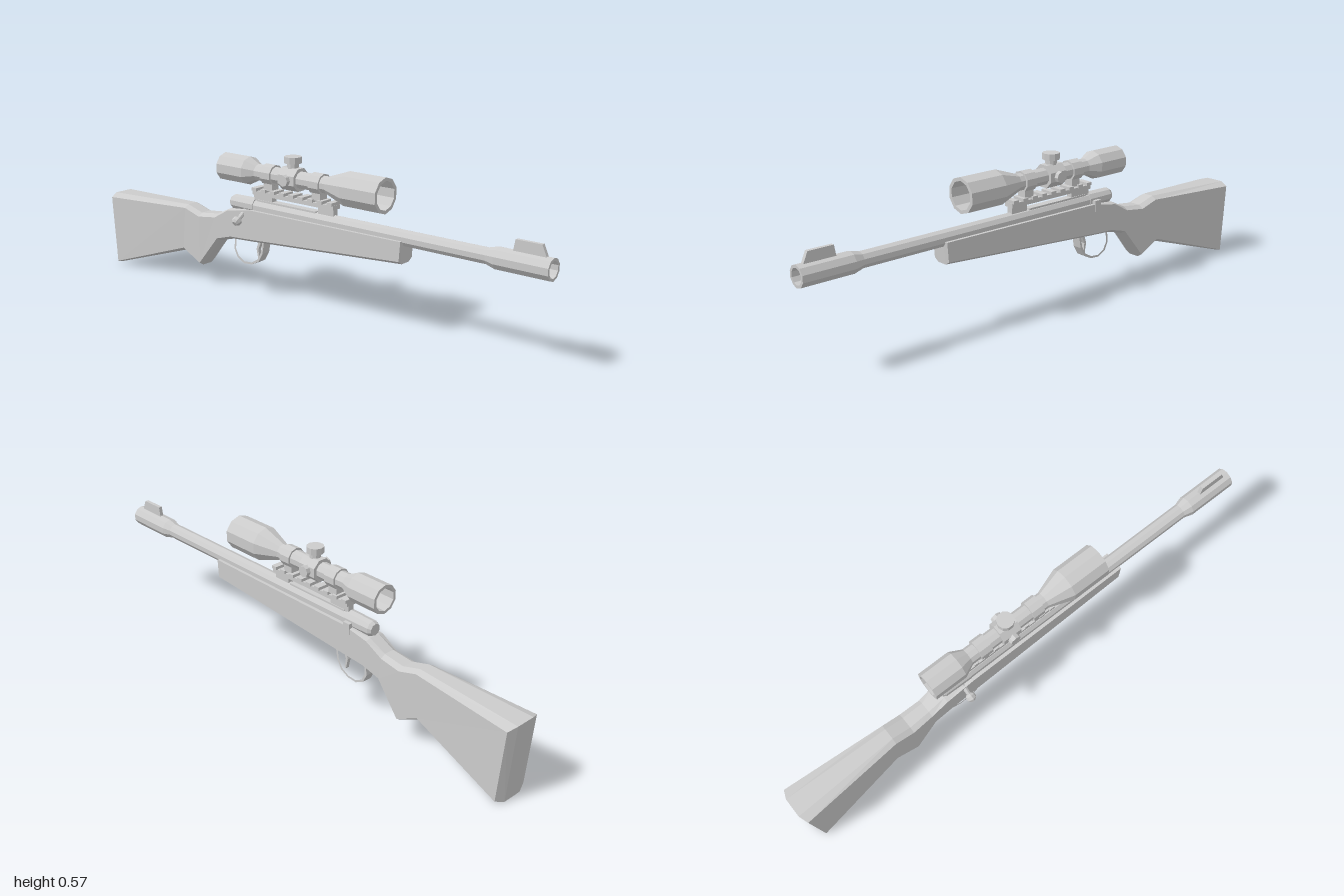
import * as THREE from 'three';

const material = new THREE.MeshStandardMaterial({ color: 0xcccccc, flatShading: true });

function add(parent, name, geometry, x = 0, y = 0, z = 0) {
  const mesh = new THREE.Mesh(geometry, material);
  mesh.name = name;
  mesh.position.set(x, y, z);
  parent.add(mesh);
  return mesh;
}

// Box given by its width and its y and z ranges, centred on x
function box(parent, name, w, y0, y1, z0, z1, x = 0) {
  return add(parent, name, new THREE.BoxGeometry(w, y1 - y0, z1 - z0), x, (y0 + y1) / 2, (z0 + z1) / 2);
}

// Turned part along z; profile points are [radius, z], outer side running towards +z
function turned(parent, name, y, profile, sides = 10) {
  const points = profile.map(([r, z]) => new THREE.Vector2(r, z));
  return add(parent, name, new THREE.LatheGeometry(points, sides).rotateX(Math.PI / 2), 0, y, 0);
}

// Flat shape drawn in (z, y) and given thickness across x
function sideExtrude(parent, name, shape, width) {
  const g = new THREE.ExtrudeGeometry(shape, { depth: width, bevelEnabled: false, curveSegments: 6 });
  g.translate(0, 0, -width / 2).rotateY(-Math.PI / 2);
  return add(parent, name, g);
}

const shapeOf = (pts) => new THREE.Shape(pts.map(([z, y]) => new THREE.Vector2(z, y)));

// Stock lofted through chamfered sections: [zTop, yTop, zBottom, yBottom, halfWidth, topChamfer]
function stockGeometry() {
  const sections = [
    [0.45, 0.35, 0.445, 0.267, 0.039, 0],
    [-0.24, 0.346, -0.24, 0.22, 0.041, 0],
    [-0.355, 0.332, -0.34, 0.214, 0.041, 0.006],
    [-0.425, 0.299, -0.415, 0.193, 0.039, 0.012],
    [-0.51, 0.289, -0.51, 0.076, 0.043, 0.012],
    [-0.585, 0.311, -0.6, 0.121, 0.042, 0.012],
    [-0.987, 0.298, -0.966, 0.001, 0.074, 0.012],
  ];
  const loops = sections.map(([zt, yt, zb, yb, w, c], k) => {
    const f = w * 0.52;
    const bulge = k === sections.length - 1 ? 0.013 : 0; // convex butt end
    return [
      [w, yb + 0.012, zb], [w, yt - c, zt], [f, yt, zt - bulge], [-f, yt, zt - bulge],
      [-w, yt - c, zt], [-w, yb + 0.012, zb], [-f, yb, zb - bulge], [f, yb, zb - bulge],
    ];
  });
  const pos = [];
  const quad = (a, b, c, d) => pos.push(...a, ...b, ...c, ...a, ...c, ...d);
  for (let s = 0; s < loops.length - 1; s++) {
    const A = loops[s], B = loops[s + 1];
    for (let i = 0; i < 8; i++) {
      const j = (i + 1) % 8;
      quad(A[i], B[i], B[j], A[j]);
    }
  }
  const first = loops[0], last = loops[loops.length - 1];
  for (const [a, b, c, d] of [[0, 1, 2, 7], [7, 2, 3, 6], [6, 3, 4, 5]]) {
    quad(first[a], first[b], first[c], first[d]);
    quad(last[d], last[c], last[b], last[a]);
  }
  const g = new THREE.BufferGeometry();
  g.setAttribute('position', new THREE.Float32BufferAttribute(pos, 3));
  g.computeVertexNormals();
  return g;
}

export function createModel() {
  const model = new THREE.Group();
  model.name = 'scopedRifle';
  const body = new THREE.Group();
  body.name = 'rifle';
  body.position.x = 0.009;
  model.add(body);

  add(body, 'stock', stockGeometry());

  // Barrel with widened hollow muzzle, and front sight blade
  turned(body, 'barrel', 0.355, [
    [0, -0.25], [0.029, -0.25], [0.029, 0.77], [0.039, 0.805], [0.039, 1],
    [0.029, 1], [0.025, 0.82], [0, 0.82],
  ]);
  sideExtrude(body, 'frontSight', shapeOf([[0.98, 0.385], [0.96, 0.43], [0.866, 0.43], [0.858, 0.385]]), 0.014);

  // Receiver and bolt
  box(body, 'receiverTop', 0.03, 0.36, 0.386, -0.22, 0.06);
  turned(body, 'boltShroud', 0.357, [
    [0, -0.358], [0.022, -0.358], [0.029, -0.345], [0.031, -0.25], [0.031, -0.235], [0, -0.235],
  ]);
  box(body, 'boltStop', 0.016, 0.318, 0.36, -0.275, -0.245, 0.036);

  // Bolt handle slants down on the right-hand side
  const handle = new THREE.Group();
  handle.name = 'boltHandle';
  handle.position.set(-0.015, 0.342, -0.275);
  handle.rotation.z = 2.15;
  body.add(handle);
  add(handle, 'boltHandleShaft', new THREE.CylinderGeometry(0.008, 0.01, 0.065, 8), 0, 0.028, 0);
  const knob = [[0, 0.052], [0.01, 0.052], [0.018, 0.06], [0.018, 0.074], [0.01, 0.083], [0, 0.083]];
  add(handle, 'boltKnob', new THREE.LatheGeometry(knob.map(([r, y]) => new THREE.Vector2(r, y)), 8));

  // Trigger guard loop and trigger
  const guard = shapeOf([
    [-0.185, 0.235], [-0.195, 0.18], [-0.215, 0.145], [-0.25, 0.127], [-0.29, 0.124],
    [-0.325, 0.142], [-0.341, 0.175], [-0.335, 0.225],
  ]);
  guard.holes.push(new THREE.Path([
    [-0.194, 0.232], [-0.203, 0.183], [-0.221, 0.152], [-0.252, 0.135], [-0.288, 0.132],
    [-0.318, 0.148], [-0.332, 0.177], [-0.327, 0.222],
  ].map(([z, y]) => new THREE.Vector2(z, y))));
  sideExtrude(body, 'triggerGuard', guard, 0.038);
  sideExtrude(body, 'trigger', shapeOf([
    [-0.222, 0.23], [-0.236, 0.19], [-0.228, 0.15], [-0.222, 0.15], [-0.226, 0.19], [-0.208, 0.23],
  ]), 0.014);

  // Scope mount: two feet, rail and cross teeth
  box(body, 'frontRailFoot', 0.024, 0.37, 0.41, 0.07, 0.14);
  box(body, 'rearRailFoot', 0.024, 0.37, 0.41, -0.24, -0.15);
  box(body, 'rail', 0.042, 0.405, 0.421, -0.24, 0.145);
  for (let i = 0; i < 9; i++) {
    const z = 0.132 - i * 0.045;
    box(body, 'railTooth', 0.054, 0.42, 0.432, z - 0.012, z + 0.012);
  }

  // Scope: hollow tube, open at both ends
  const scopeY = 0.488;
  turned(body, 'scopeTube', scopeY, [
    [0.043, -0.397], [0.054, -0.397], [0.054, -0.27], [0.032, -0.225], [0.032, 0.11],
    [0.065, 0.205], [0.065, 0.358], [0.052, 0.358], [0.05, 0.21], [0.027, 0.11],
    [0.027, -0.225], [0.043, -0.28], [0.043, -0.397],
  ]);
  for (const z of [0.065, -0.165]) {
    turned(body, 'scopeRing', scopeY, [
      [0.029, z - 0.024], [0.039, z - 0.024], [0.039, z + 0.024], [0.029, z + 0.024], [0.029, z - 0.024],
    ]);
    box(body, 'ringFoot', 0.038, 0.428, 0.458, z - 0.02, z + 0.02);
  }

  // Turret housing (hollow) with top and side knobs
  const tz = -0.058;
  const housing = turned(body, 'turretHousing', scopeY, [
    [0.029, tz - 0.038], [0.045, tz - 0.038], [0.045, tz + 0.038], [0.029, tz + 0.038], [0.029, tz - 0.038],
  ], 8);
  housing.rotation.z = Math.PI / 8;
  add(body, 'topTurretStem', new THREE.CylinderGeometry(0.021, 0.021, 0.03, 10), 0, 0.537, tz);
  add(body, 'topTurretKnob', new THREE.CylinderGeometry(0.032, 0.032, 0.024, 10), 0, 0.558, tz);
  for (const side of [-1, 1]) {
    const knobMesh = add(body, 'sideTurretKnob', new THREE.CylinderGeometry(0.021, 0.021, 0.024, 8), side * 0.046, scopeY, tz);
    knobMesh.rotation.z = Math.PI / 2;
  }
  return model;
}
